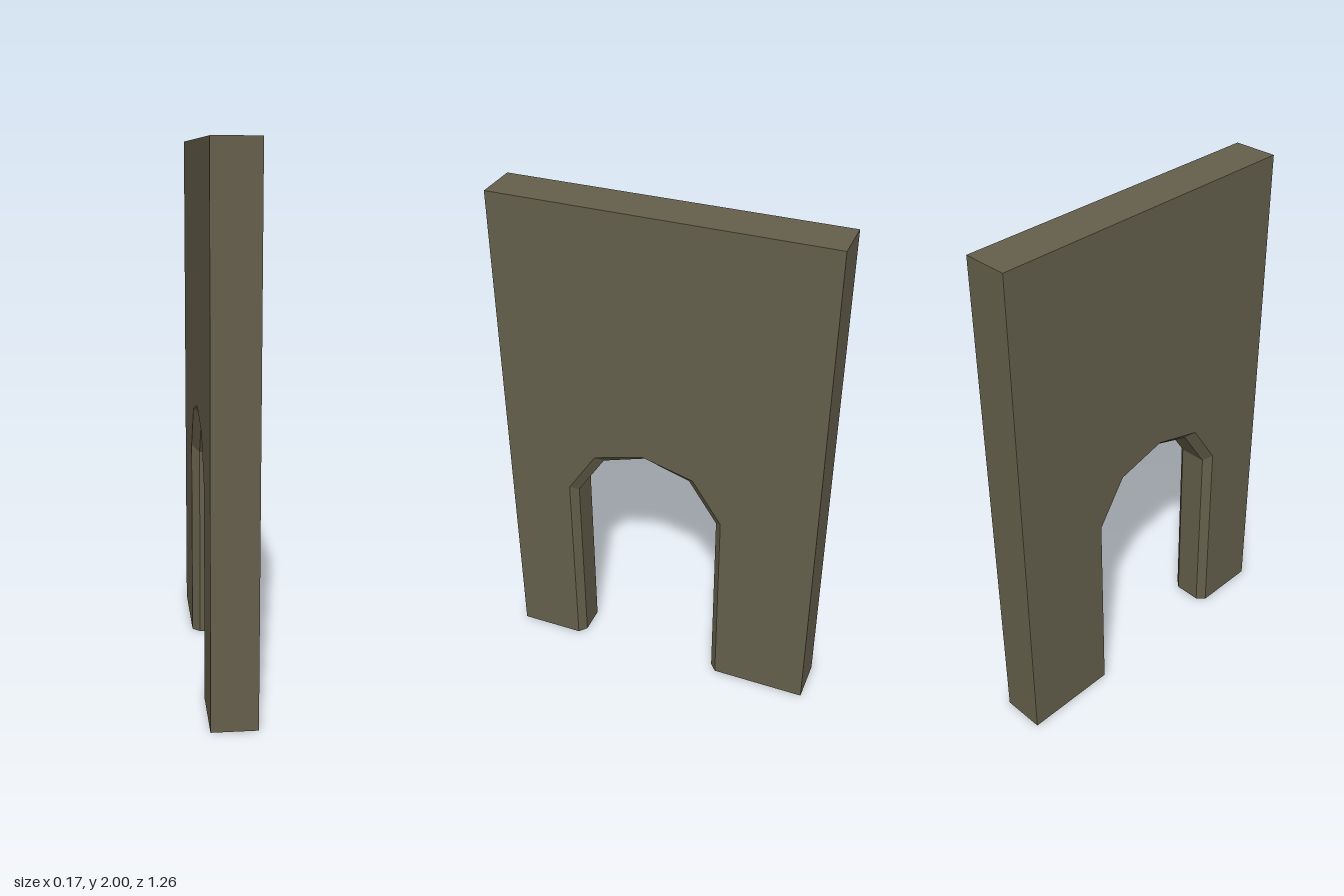
import * as THREE from 'three';

const HALF_THICK = 0.084, HALF_WIDTH = 0.628, HEIGHT = 2;
const ARCH_CENTRE = -0.06;
const CHAMFER_DEPTH = 0.03;

// Half arch from floor to crown: offset, height, then the wider chamfered offset and height
const HALF_ARCH = [
  [0.288, 0, 0.315, 0],
  [0.288, 0.775, 0.315, 0.8],
  [0.175, 0.948, 0.2, 0.975],
  [0, 1.005, 0, 1.03],
];

export function createModel() {
  const stone = new THREE.MeshStandardMaterial({ color: 0x645f4b });
  stone.name = 'stone';

  // Slab outline with the doorway cut up from the floor
  const right = HALF_ARCH.map(([u, v, cu, cv]) => [ARCH_CENTRE + u, v, ARCH_CENTRE + cu, cv]);
  const left = HALF_ARCH.slice(0, -1).map(([u, v, cu, cv]) => [ARCH_CENTRE - u, v, ARCH_CENTRE - cu, cv]);
  const arch = [...left, ...right.reverse()];
  const outline = [
    ...arch.map(([u, v]) => [u, v]),
    [HALF_WIDTH, 0], [HALF_WIDTH, HEIGHT], [-HALF_WIDTH, HEIGHT], [-HALF_WIDTH, 0],
  ].map(([u, v]) => new THREE.Vector2(u, v));

  const geometry = new THREE.ExtrudeGeometry(new THREE.Shape(outline), {
    depth: 2 * HALF_THICK, steps: 3, bevelEnabled: false,
  });
  geometry.translate(0, 0, -HALF_THICK);

  // Widen the doorway on both faces, leaving a chamfer around the arch
  const p = geometry.attributes.position;
  for (let i = 0; i < p.count; i++) {
    const z = p.getZ(i);
    if (Math.abs(z) < HALF_THICK * 0.9) {
      p.setZ(i, Math.sign(z) * (HALF_THICK - CHAMFER_DEPTH));
      continue;
    }
    const hit = arch.find(([u, v]) => Math.hypot(u - p.getX(i), v - p.getY(i)) < 1e-4);
    if (hit) p.setXY(i, hit[2], hit[3]);
  }
  geometry.rotateY(Math.PI / 2);
  geometry.computeVertexNormals();

  const wall = new THREE.Mesh(geometry, stone);
  wall.name = 'archedWall';
  const group = new THREE.Group();
  group.name = 'wallWithDoorway';
  group.add(wall);
  return group;
}
